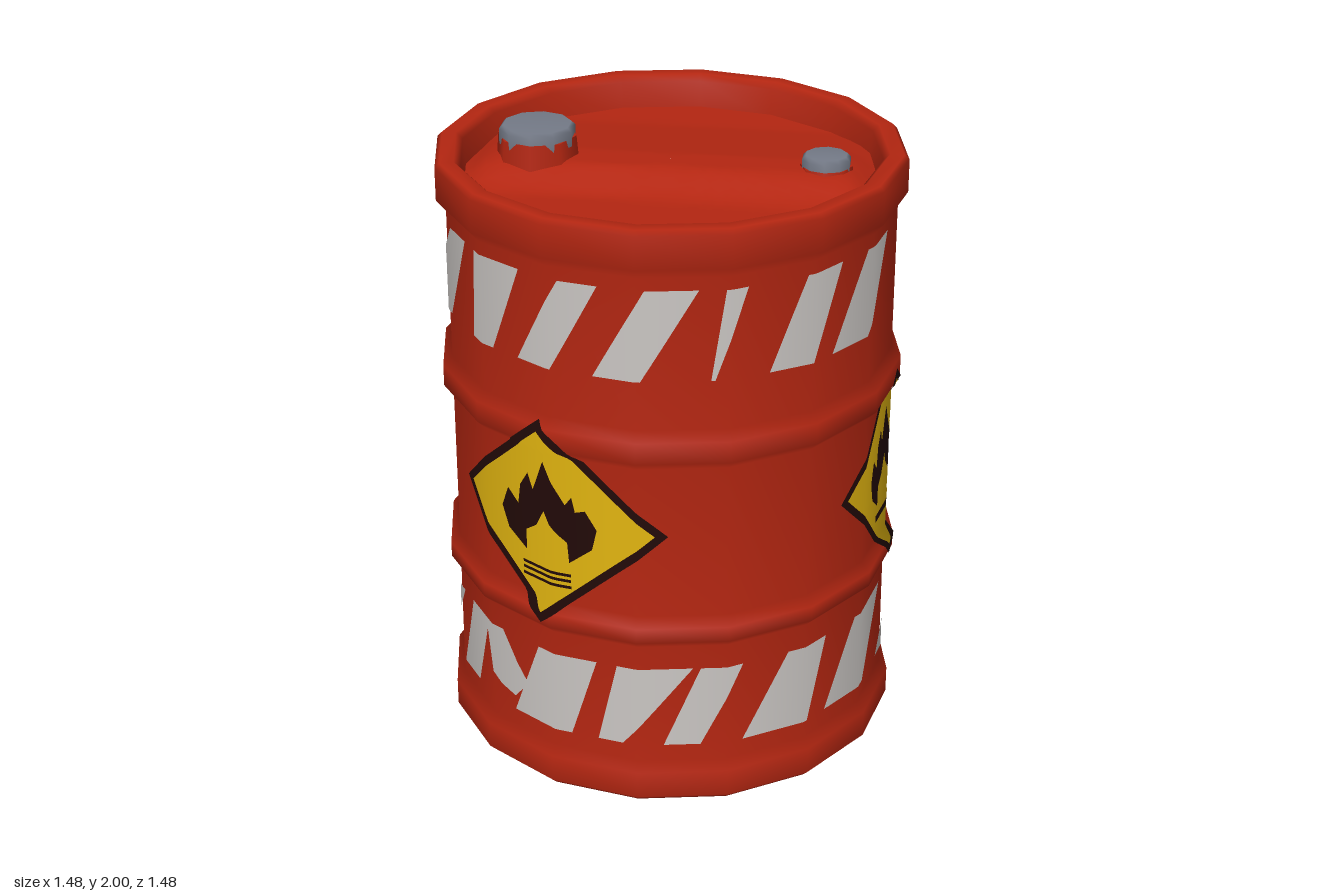
import * as THREE from 'three';
import { mergeGeometries } from 'three/addons/utils/BufferGeometryUtils.js';

const SIDES = 16, R = 0.71, DEG = Math.PI / 180;
const mat = (name, color) => {
  const m = new THREE.MeshStandardMaterial({ color });
  m.name = name;
  return m;
};

// Drum profile from the underside lip, up the wall and over the top rim
const PROFILE = [
  [0.65, 0.06], [0.665, 0.005], [0.72, 0], [0.74, 0.02], [0.74, 0.11], [0.712, 0.14],
  [0.71, 0.56], [0.74, 0.59], [0.74, 0.64], [0.71, 0.67],
  [0.71, 1.18], [0.74, 1.21], [0.74, 1.28], [0.71, 1.31],
  [0.71, 1.8], [0.74, 1.835], [0.74, 1.94], [0.725, 1.955], [0.68, 1.955], [0.66, 1.935], [0.65, 1.83],
];
const WALL = PROFILE.slice(2, 18);

// Radius of the sixteen-sided wall at an angle and height
function wallRadius(theta, y) {
  let i = 0;
  while (i < WALL.length - 2 && y > WALL[i + 1][1]) i++;
  const [r0, y0] = WALL[i], [r1, y1] = WALL[i + 1];
  const r = r0 + (r1 - r0) * (y - y0) / (y1 - y0);
  const step = 2 * Math.PI / SIDES;
  const a = ((theta % step) + step) % step - step / 2;
  return r * Math.cos(step / 2) / Math.cos(a);
}

// Splits a flat shape finely and wraps it on the wall; x is arc length, y is height
function wrap(shape) {
  const g = new THREE.ShapeGeometry(shape, 6).toNonIndexed();
  const p = g.attributes.position, pos = [], nor = [];
  const emit = ([u, y]) => {
    const t = u / R, r = wallRadius(t, y) + 0.005;
    pos.push(r * Math.sin(t), y, r * Math.cos(t));
    nor.push(Math.sin(t), 0, Math.cos(t));
  };
  const split = (a, b, c) => {
    const ab = Math.hypot(a[0] - b[0], a[1] - b[1]);
    const bc = Math.hypot(b[0] - c[0], b[1] - c[1]);
    const ca = Math.hypot(c[0] - a[0], c[1] - a[1]);
    const m = Math.max(ab, bc, ca);
    if (m < 0.025) return [a, b, c].forEach(emit);
    if (m === bc) [a, b, c] = [b, c, a];
    else if (m === ca) [a, b, c] = [c, a, b];
    const h = [(a[0] + b[0]) / 2, (a[1] + b[1]) / 2];
    split(a, h, c);
    split(h, b, c);
  };
  const at = i => [p.getX(i), p.getY(i)];
  for (let i = 0; i < p.count; i += 3) split(at(i), at(i + 1), at(i + 2));
  const out = new THREE.BufferGeometry();
  out.setAttribute('position', new THREE.Float32BufferAttribute(pos, 3));
  out.setAttribute('normal', new THREE.Float32BufferAttribute(nor, 3));
  return out;
}

const poly = pts => new THREE.Shape(pts.map(([x, y]) => new THREE.Vector2(x, y)));

// Hazard stripes: bottom start, bottom end, top start, top end in degrees from the front
const BACK_STRIPES = [
  [117, 127, 132, 145], [134, 143, 147, 158], [152, 163, 166, 177], [171, 184, 186, 197],
  [193, 210, 208, 227], [229, 239, 240, 252], [250, 261, 263, 275],
];
const UPPER_STRIPES = [
  [-93, -86, -80, -72], [-78, -65, -64, -54], [-50, -41, -48, -31.5], [-32.5, -22, -19.6, -9.5],
  [-11, 1, 2, 15], [18, 19, 21.5, 27], [33, 45, 43, 55], [52, 66, 65, 79], [90, 101, 95, 118],
];
const LOWER_STRIPES = [
  [-83, -76, -72, -64], [-65.5, -55, -58, -47], [-37, -18, -28, -11], [-10.7, -4, -5.5, 14],
  [6.5, 16, 16, 27], [27, 46, 40, 53], [53, 71, 65, 85], [84, 101, 101, 116],
];

// Flame outline, relative to the centre of its sign
const FLAME = [
  [0, 0.2], [0.035, 0.13], [0.07, 0.07], [0.09, 0.1], [0.1, 0.05], [0.13, 0.06], [0.165, 0],
  [0.15, -0.07], [0.08, -0.13], [0.075, -0.06], [0.05, -0.04], [0.02, -0.01], [0, 0.03],
  [-0.03, -0.03], [-0.07, -0.06], [-0.07, -0.13], [-0.14, -0.08], [-0.165, -0.01], [-0.14, 0.06],
  [-0.1, 0.02], [-0.09, 0.09], [-0.06, 0.14], [-0.04, 0.09],
];

export function createModel() {
  const red = mat('red paint', 0xb42611);
  const white = mat('white paint', 0xcac6c3);
  const yellow = mat('sign yellow', 0xe2b510);
  const black = mat('sign black', 0x220a08);
  const steel = mat('cap steel', 0x747a87);
  const pink = mat('worn paint', 0xb4665a);

  const model = new THREE.Group();
  model.name = 'drum';
  const add = (name, geo, material, parent = model) => {
    const m = new THREE.Mesh(geo, material);
    m.name = name;
    parent.add(m);
    return m;
  };

  // Wall with hoops and rims
  add('drumWall', new THREE.LatheGeometry(PROFILE.map(([r, y]) => new THREE.Vector2(r, y)), SIDES), red);

  // Recessed lid with a raised ridge joining the two openings
  const lid = new THREE.RingGeometry(0.001, 0.655, 64, 16).rotateX(-Math.PI / 2);
  const lp = lid.attributes.position;
  for (let i = 0; i < lp.count; i++) {
    const x = lp.getX(i), z = lp.getZ(i);
    const side = THREE.MathUtils.clamp((z > 0 ? 0.22 - z : 0.45 + z) / (z > 0 ? 0.14 : 0.4), 0, 1);
    const end = THREE.MathUtils.clamp((0.64 - Math.abs(x)) / 0.08, 0, 1);
    lp.setY(i, 1.85 + 0.055 * side * end);
  }
  lid.computeVertexNormals();
  add('lid', lid, red);

  // Screw caps with red collars
  for (const [name, x, r, top] of [['large', -0.42, 0.12, 2], ['small', 0.485, 0.077, 1.945]]) {
    const collar = new THREE.CylinderGeometry(r + 0.004, r + 0.016, top - 1.865, 8);
    add(name + 'CapCollar', collar, red).position.set(x, (top - 0.035 + 1.83) / 2, 0);
    const cap = new THREE.LatheGeometry(
      [[r, -0.06], [r, -0.012], [r - 0.012, 0], [0, 0]].map(([a, b]) => new THREE.Vector2(a, b)), 10);
    add(name + 'Cap', cap, steel).position.set(x, top, 0);
  }

  // Striped bands
  for (const [name, rows, y0, y1] of [
    ['upperStripes', UPPER_STRIPES, 1.47, 1.76], ['lowerStripes', LOWER_STRIPES, 0.2, 0.48],
  ]) {
    const geos = [...rows, ...BACK_STRIPES].map(s => {
      const [a, b, c, d] = s.map(v => v * DEG * R);
      return wrap(poly([[a, y0], [b, y0], [d, y1], [c, y1]]));
    });
    if (name === 'lowerStripes') {
      const horn = [[-37, 0.25], [-32, 0.32], [-36, 0.38], [-41, 0.48], [-49, 0.48], [-45, 0.3], [-42, 0.27]];
      geos.push(wrap(poly(horn.map(([a, y]) => [a * DEG * R, y]))));
    }
    add(name, mergeGeometries(geos), white);
  }

  // Diamond warning signs: angle, height, half width, half height, bars [y, thickness]
  const signs = [
    ['frontSign', -25, 0.95, 0.405, 0.35, [[-0.175, 0.01], [-0.195, 0.01], [-0.217, 0.01]]],
    ['rightSideSign', 85.5, 0.925, 0.345, 0.335, [[-0.175, 0.025]]],
    ['backSign', 186, 0.935, 0.34, 0.345, [[-0.19, 0.02]]],
  ];
  for (const [name, angle, cy, w, h, bars] of signs) {
    const sign = new THREE.Group();
    sign.name = name;
    model.add(sign);
    const cu = angle * DEG * R, sx = w / 0.37;
    const place = pts => pts.map(([x, y]) => [cu + x * sx, cy + y]);
    const diamond = k => [[0, -h * k], [0.37 * k, 0], [0, h * k], [-0.37 * k, 0]];
    const marks = [FLAME, ...bars.map(([y, t]) =>
      [[-0.085, y - t / 2], [0.085, y - t / 2], [0.085, y + t / 2], [-0.085, y + t / 2]])].map(place);
    const border = poly(place(diamond(1)));
    border.holes.push(poly(place(diamond(0.9))));
    const face = poly(place(diamond(0.9)));
    marks.forEach(m => face.holes.push(poly(m)));
    add('signBorder', wrap(border), black, sign);
    add('signFace', wrap(face), yellow, sign);
    add('flame', mergeGeometries(marks.map(m => wrap(poly(m)))), black, sign);
  }

  // Recessed underside with worn paint patches
  add('underside', new THREE.CircleGeometry(0.66, SIDES).rotateX(Math.PI / 2), white).position.y = 0.05;
  let seed = 7;
  const rnd = () => (seed = (seed * 16807) % 2147483647) / 2147483647;
  const patches = { red: [], pink: [] };
  for (let i = 0; i < 44; i++) {
    const a = i * 2.4, d = 0.56 * Math.sqrt((i + 0.5) / 44);
    const l = 0.05 + 0.07 * rnd(), t = 0.02 + 0.025 * rnd();
    const g = new THREE.ShapeGeometry(poly([[-l, -t], [l * 0.5, -t * 0.6], [l, t], [-l * 0.3, t * 0.8]]));
    g.rotateZ(0.6 + rnd()).rotateX(Math.PI / 2);
    g.translate(d * Math.cos(a), 0.046 - 0.0001 * i, d * Math.sin(a));
    patches[i % 2 ? 'red' : 'pink'].push(g);
  }
  add('undersideRedPatches', mergeGeometries(patches.red), red);
  add('undersideWornPatches', mergeGeometries(patches.pink), pink);

  return model;
}
